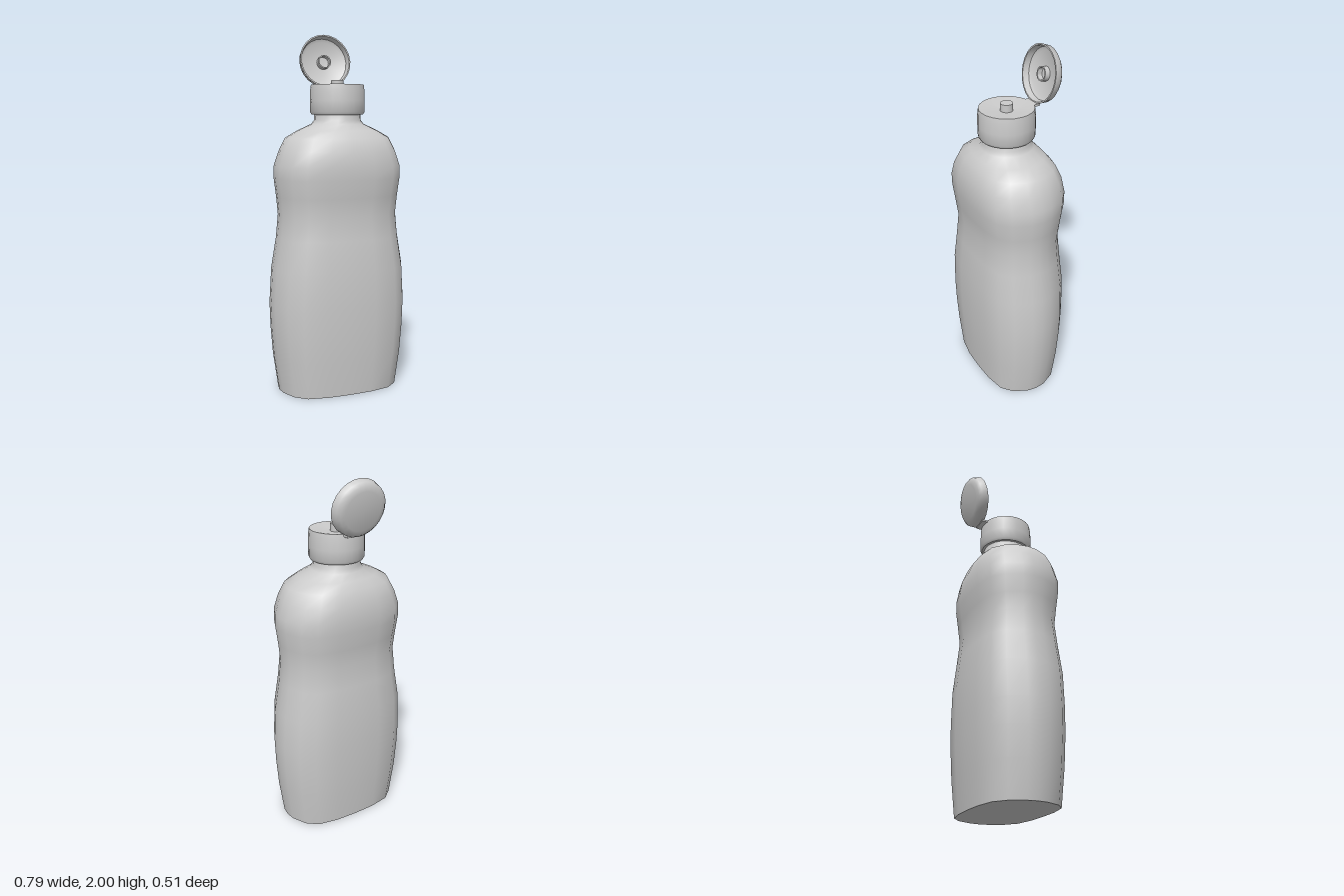
import * as THREE from 'three';
import { toCreasedNormals } from 'three/addons/utils/BufferGeometryUtils.js';

const material = new THREE.MeshStandardMaterial({ color: 0xcccccc });
const AXIS_Z = 0.022; // the bottle axis sits slightly forward of the lid

function addMesh(parent, name, geometry, crease = 0.7) {
  const mesh = new THREE.Mesh(toCreasedNormals(geometry, crease), material);
  mesh.name = name;
  parent.add(mesh);
  return mesh;
}

function lathe(points, segments = 24) {
  return new THREE.LatheGeometry(points.map(([r, y]) => new THREE.Vector2(r, y)), segments);
}

// Closed skin through rings of equal point count, with flat end caps
function loft(rings) {
  const n = rings[0].length;
  const vertices = rings.flat(2);
  const index = [];
  for (let r = 0; r < rings.length - 1; r++) {
    for (let i = 0; i < n; i++) {
      const j = (i + 1) % n;
      const a = r * n + i, b = r * n + j, c = a + n, d = b + n;
      index.push(a, c, b, b, c, d);
    }
  }
  const top = (rings.length - 1) * n;
  for (let i = 1; i < n - 1; i++) {
    index.push(0, i, i + 1);
    index.push(top, top + i + 1, top + i);
  }
  const geometry = new THREE.BufferGeometry();
  geometry.setAttribute('position', new THREE.Float32BufferAttribute(vertices, 3));
  geometry.setIndex(index);
  return geometry;
}

// Flattened oval section, 20 sided, mirrored from one quarter
function ovalSection() {
  const quarter = [[1, 0], [0.98, 0.25], [0.865, 0.64], [0.685, 0.88], [0.355, 0.98]];
  const half = [...quarter, [0, 1], ...quarter.slice(1).reverse().map(([x, z]) => [-x, z])];
  return [...half, ...half.map(([x, z]) => [-x, -z])];
}

function bodyGeometry() {
  // height, half width, half depth, blend towards a round section
  const profile = [
    [0, 0.35, 0.213, 0], [0.2, 0.378, 0.229, 0], [0.36, 0.39, 0.237, 0],
    [0.5, 0.394, 0.24, 0], [0.7, 0.381, 0.24, 0], [0.87, 0.352, 0.225, 0],
    [1.0, 0.34, 0.212, 0], [1.1, 0.348, 0.225, 0], [1.2, 0.36, 0.238, 0],
    [1.27, 0.358, 0.24, 0], [1.35, 0.33, 0.232, 0.1], [1.42, 0.295, 0.205, 0.2],
    [1.46, 0.225, 0.175, 0.5], [1.495, 0.145, 0.142, 0.9], [1.515, 0.13, 0.13, 1],
    [1.57, 0.128, 0.128, 1],
  ];
  const oval = ovalSection();
  return loft(profile.map(([y, w, d, round]) => oval.map(([x, z], i) => {
    const angle = (i / oval.length) * Math.PI * 2;
    return [
      w * THREE.MathUtils.lerp(x, Math.cos(angle), round),
      y,
      d * THREE.MathUtils.lerp(z, Math.sin(angle), round),
    ];
  })));
}

export function createModel() {
  const model = new THREE.Group();
  model.name = 'squeezeBottle';

  const bottle = new THREE.Group();
  bottle.name = 'bottle';
  bottle.position.z = AXIS_Z;
  model.add(bottle);

  addMesh(bottle, 'body', bodyGeometry(), 0.9);

  // Cap with a shallow dished top
  addMesh(bottle, 'cap', lathe([
    [0.12, 1.545], [0.143, 1.545], [0.151, 1.56], [0.152, 1.62], [0.15, 1.68],
    [0.146, 1.708], [0.137, 1.708], [0.034, 1.692], [0, 1.692],
  ]));

  // Dispensing spout
  addMesh(bottle, 'spout', lathe([
    [0.034, 1.68], [0.034, 1.732], [0, 1.732],
  ], 20));

  // Open flip lid, tilted back over the hinge
  const lid = new THREE.Group();
  lid.name = 'flipLid';
  lid.position.set(0, 1.85, -0.168);
  lid.rotation.x = 1.359;
  model.add(lid);
  addMesh(lid, 'lidShell', lathe([
    [0, -0.062], [0.105, -0.06], [0.13, -0.053], [0.146, -0.038], [0.152, 0],
    [0.144, 0], [0.137, -0.034], [0.12, -0.044], [0, -0.046],
  ]));
  // Sealing ring that plugs the spout
  addMesh(lid, 'sealRing', lathe([
    [0.039, -0.048], [0.039, -0.016], [0.032, -0.016], [0.032, -0.048],
  ], 20));

  // Thin living hinge between cap and lid
  const hinge = addMesh(model, 'hinge', new THREE.BoxGeometry(0.09, 0.012, 0.04));
  hinge.position.set(0, 1.7, -0.132);

  return model;
}
